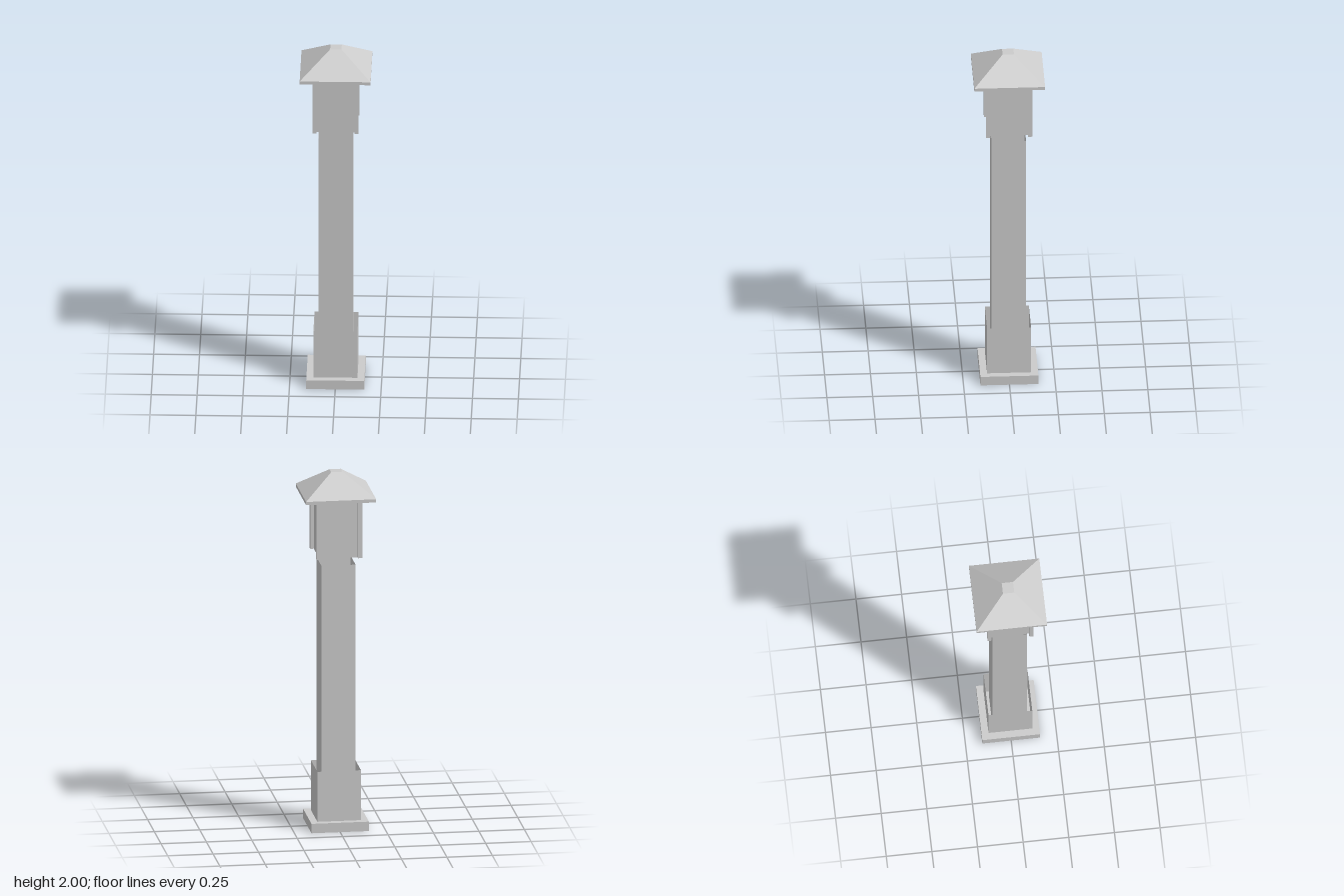
import * as THREE from 'three';

const shellMaterial = new THREE.MeshStandardMaterial({
  color: 0xcccccc, flatShading: true, side: THREE.DoubleSide,
});

// Square tube or frustum given by half widths, standing from y0 to y1
function squareShell(name, halfBottom, halfTop, y0, y1, open = true) {
  const geometry = new THREE.CylinderGeometry(
    halfTop * Math.SQRT2, halfBottom * Math.SQRT2, y1 - y0, 4, 1, open);
  geometry.rotateY(Math.PI / 4);
  const mesh = new THREE.Mesh(geometry, shellMaterial);
  mesh.name = name;
  mesh.position.y = (y0 + y1) / 2;
  return mesh;
}

export function createModel() {
  const group = new THREE.Group();
  group.name = 'bollardLamp';

  // Plinth: hollow below, closed on top
  const plinthTop = new THREE.Mesh(new THREE.PlaneGeometry(0.316, 0.316), shellMaterial);
  plinthTop.name = 'plinthTop';
  plinthTop.rotation.x = -Math.PI / 2;
  plinthTop.position.y = 0.053;
  group.add(squareShell('plinthSides', 0.158, 0.158, 0, 0.053), plinthTop);

  // Sleeve and post: open square tubes
  group.add(squareShell('sleeve', 0.12, 0.12, 0.053, 0.335));
  group.add(squareShell('post', 0.094, 0.094, 0.053, 1.49));

  // Lantern: open-bottomed panels between four corner bars
  group.add(squareShell('lanternPanels', 0.107, 0.107, 1.534, 1.864));
  const corners = new THREE.Group();
  corners.name = 'lanternCorners';
  for (const sx of [-1, 1]) {
    for (const sz of [-1, 1]) {
      const bar = squareShell('cornerBar', 0.0115, 0.0115, 1.534, 1.864, false);
      bar.position.x = sx * 0.1145;
      bar.position.z = sz * 0.1145;
      corners.add(bar);
    }
  }
  group.add(corners);

  // Roof: thin eave slab with a flat-topped pyramid
  group.add(squareShell('eave', 0.193, 0.193, 1.864, 1.882, false));
  group.add(squareShell('roof', 0.193, 0.031, 1.882, 2, false));

  return group;
}
